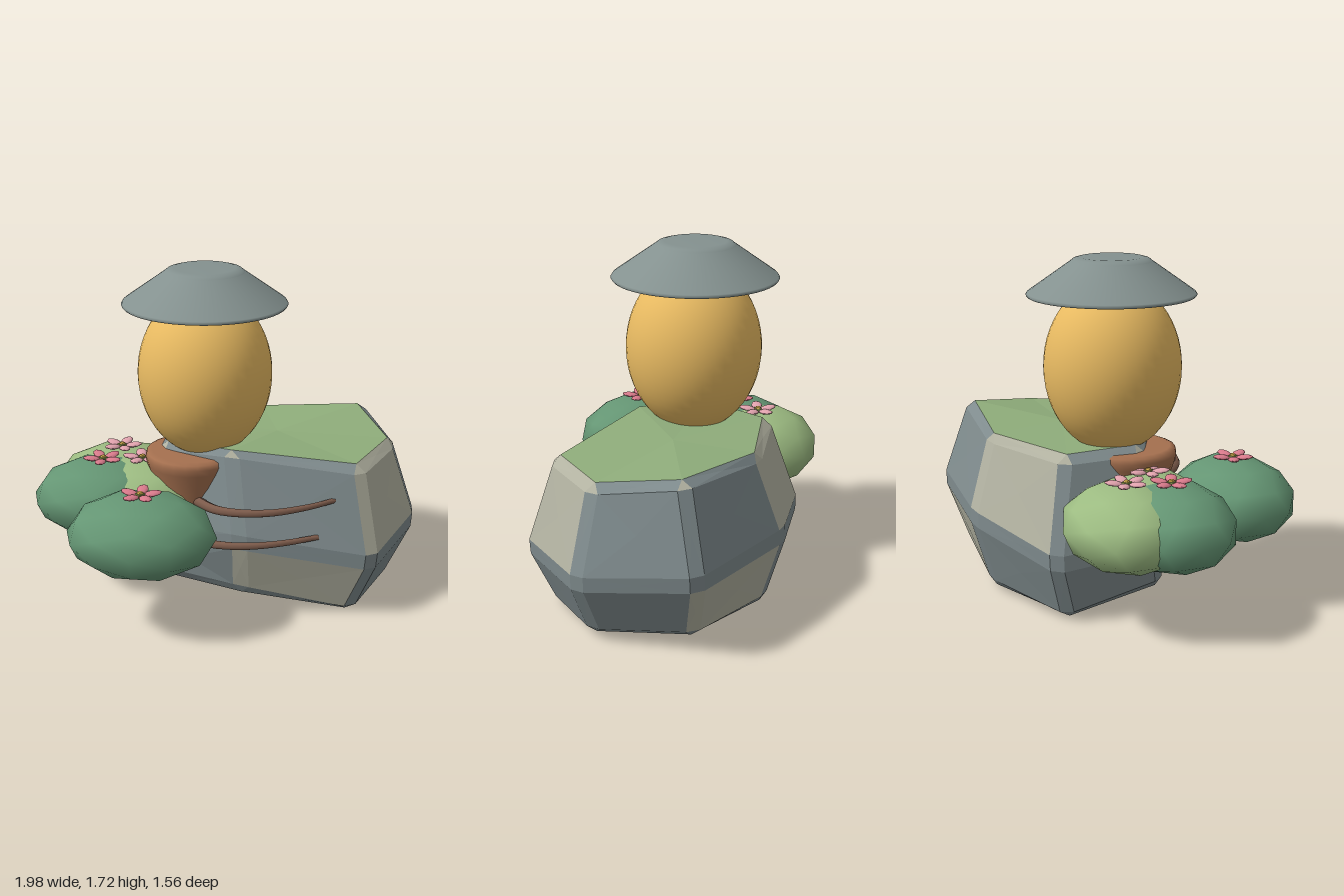
import * as THREE from 'three';

const mat = (color, flatShading = false) => new THREE.MeshStandardMaterial({ color, flatShading });
const V = (a) => new THREE.Vector3(...a);

function add(parent, name, geometry, material, pos = [0, 0, 0]) {
  const mesh = new THREE.Mesh(geometry, material);
  mesh.name = name;
  mesh.position.set(...pos);
  parent.add(mesh);
  return mesh;
}

// Seven-sided boulder: three rings of corners, bevelled edges, mossy top
function makeRock() {
  const rings = [
    [[.85, .04, -.23], [.67, 0, .18], [.11, .1, .2], [-.42, .13, .08], [-.42, .01, -.42], [.08, .03, -.67], [.64, .09, -.67]],
    [[1.01, .37, -.26], [.79, .33, .27], [.11, .42, .3], [-.48, .38, .03], [-.49, .33, -.5], [.06, .42, -.78], [.76, .44, -.79]],
    [[.86, .81, -.25], [.7, .8, .15], [.05, .87, .16], [-.33, .83, 0], [-.34, .82, -.4], [.13, .83, -.65], [.69, .885, -.65]],
  ].map((ring) => ring.map(V));
  const n = 7, bevel = 0.042, centre = new THREE.Vector3(.25, .43, -.25);
  const soup = { greyStone: [], paleStone: [], moss: [] };

  // Adds a convex polygon as a fan, turned to face outward
  const poly = (pts, kind) => {
    const mid = pts.reduce((s, p) => s.add(p), new THREE.Vector3()).divideScalar(pts.length);
    pts.forEach((a, k) => {
      const b = pts[(k + 1) % pts.length];
      const normal = b.clone().sub(a).cross(mid.clone().sub(a));
      const out = normal.dot(mid.clone().sub(centre)) > 0;
      for (const p of out ? [a, b, mid] : [b, a, mid]) soup[kind].push(p.x, p.y, p.z);
    });
  };
  // Pulls every corner of a face inward along its two edges
  const inset = (pts) => pts.map((p, k) => {
    const q = p.clone();
    for (const o of [pts[(k + 1) % pts.length], pts[(k + pts.length - 1) % pts.length]])
      q.add(o.clone().sub(p).normalize().multiplyScalar(bevel));
    return q;
  });

  // Side panels: corners are bottom i, bottom i+1, top i+1, top i
  const side = [0, 1].map((r) => rings[r].map((p, i) => {
    const j = (i + 1) % n;
    return inset([p, rings[r][j], rings[r + 1][j], rings[r + 1][i]]);
  }));
  const bottom = inset(rings[0]), top = inset(rings[2]);
  const pale = [[1, 5], [0, 4]];
  const kind = (r, i) => (pale[r].includes(i) ? 'paleStone' : 'greyStone');
  poly(bottom, 'greyStone');
  poly(top, 'moss');
  for (let i = 0; i < n; i++) {
    const j = (i + 1) % n, h = (i + n - 1) % n;
    const [lo, up, loPrev, upPrev] = [side[0][i], side[1][i], side[0][h], side[1][h]];
    poly(lo, kind(0, i));
    poly(up, kind(1, i));
    // Bevel strips
    poly([loPrev[1], lo[0], lo[3], loPrev[2]], kind(0, h));
    poly([upPrev[1], up[0], up[3], upPrev[2]], kind(1, h));
    poly([lo[0], lo[1], bottom[j], bottom[i]], 'greyStone');
    poly([lo[3], lo[2], up[1], up[0]], 'greyStone');
    poly([up[3], up[2], top[j], top[i]], kind(1, i));
    // Bevel corners
    poly([bottom[i], loPrev[1], lo[0]], 'greyStone');
    poly([loPrev[2], lo[3], up[0], upPrev[1]], 'greyStone');
    poly([top[i], upPrev[2], up[3]], 'paleStone');
  }
  const colors = { greyStone: 0x7f8b8d, paleStone: 0xb2b2a1, moss: 0x8fad7b };
  const rock = new THREE.Group();
  rock.name = 'rock';
  for (const [name, data] of Object.entries(soup)) {
    const g = new THREE.BufferGeometry();
    g.setAttribute('position', new THREE.Float32BufferAttribute(data, 3));
    g.computeVertexNormals();
    add(rock, name, g, mat(colors[name], true));
  }
  return rock;
}

// Five-petalled flower lying on top of a bush
function makeFlower(color, turn) {
  const flower = new THREE.Group();
  flower.name = 'flower';
  const petal = new THREE.SphereGeometry(1, 8, 5).scale(.046, .012, .03).translate(.06, 0, 0);
  const petalMat = mat(color);
  for (let i = 0; i < 5; i++)
    add(flower, 'petal', petal, petalMat).rotation.set(0, turn + i * Math.PI * 2 / 5, .12);
  add(flower, 'flowerBase', new THREE.CylinderGeometry(.025, .03, .012, 4), mat(0x7c8a45, true), [0, .006, 0]);
  add(flower, 'flowerCentre', new THREE.CylinderGeometry(.013, .018, .012, 4), mat(0xe6bd55, true), [0, .014, 0]);
  return flower;
}

// Tapered root following a curve
function makeRoot(points, r0, r1) {
  const curve = new THREE.CatmullRomCurve3(points.map(V));
  const segs = 20, sides = 8;
  const g = new THREE.TubeGeometry(curve, segs, 1, sides);
  const p = g.attributes.position;
  for (let i = 0; i < p.count; i++) {
    const t = Math.floor(i / (sides + 1)) / segs;
    const c = curve.getPointAt(t);
    const v = new THREE.Vector3().fromBufferAttribute(p, i).sub(c)
      .multiplyScalar(THREE.MathUtils.lerp(r0, r1, t)).add(c);
    p.setXYZ(i, v.x, v.y, v.z);
  }
  g.computeVertexNormals();
  return g;
}

const lathe = (pts, sides) => new THREE.LatheGeometry(pts.map((p) => new THREE.Vector2(...p)), sides);

export function createModel() {
  const model = new THREE.Group();
  model.name = 'rockGarden';
  model.add(makeRock());

  // Flared stump
  add(model, 'stump', lathe([[0, .36], [.13, .36], [.165, .46], [.2, .62], [.235, .73], [.242, .765],
    [.235, .79], [.21, .8], [0, .8]], 24), mat(0xa5704f), [-.17, 0, -.02]);

  // Egg-shaped body
  add(model, 'body', new THREE.SphereGeometry(1, 40, 28).scale(.342, .43, .342), mat(0xe9bb62), [-.11, 1.19, -.08]);

  // Wide conical hat with a flat crown and flat underside
  add(model, 'hat', lathe([[.2, 1.71], [.185, 1.722], [.155, 1.73], [0, 1.73]].reverse()
    .concat([[.2, 1.71], [.41, 1.562], [.416, 1.553], [.41, 1.545], [.405, 1.545], [0, 1.545]]).reverse(), 48),
    mat(0x84918f), [-.11, 0, -.085]);

  // Bushes, each with a flower
  const bushGeo = new THREE.IcosahedronGeometry(1, 1).scale(.372, .205, .31);
  const dark = mat(0x659674), light = mat(0x9dbc82);
  const bushes = [
    [-.35, .47, dark, 0xda7b8c, .3], [-.63, .03, dark, 0xda7b8c, .9],
    [-.57, -.17, light, 0xe2a3ae, .1], [-.43, -.01, light, 0xe2a3ae, .6],
  ];
  for (const [x, z, material, pink, turn] of bushes) {
    const plant = new THREE.Group();
    plant.name = 'floweringBush';
    plant.position.set(x, .528, z);
    add(plant, 'bush', bushGeo, material);
    const flower = makeFlower(pink, turn);
    flower.position.y = .205;
    plant.add(flower);
    model.add(plant);
  }

  // Roots reaching across the front of the boulder
  const bark = mat(0x7b5a4a);
  add(model, 'upperRoot', makeRoot([[-.14, .57, .12], [0, .6, .3], [.13, .61, .345], [.28, .617, .335],
    [.45, .628, .27], [.59, .637, .18]], .027, .013), bark);
  add(model, 'lowerRoot', makeRoot([[-.18, .41, .14], [-.06, .42, .3], [.06, .432, .35], [.2, .44, .35],
    [.36, .45, .31], [.5, .458, .25]], .025, .014), bark);
  return model;
}
